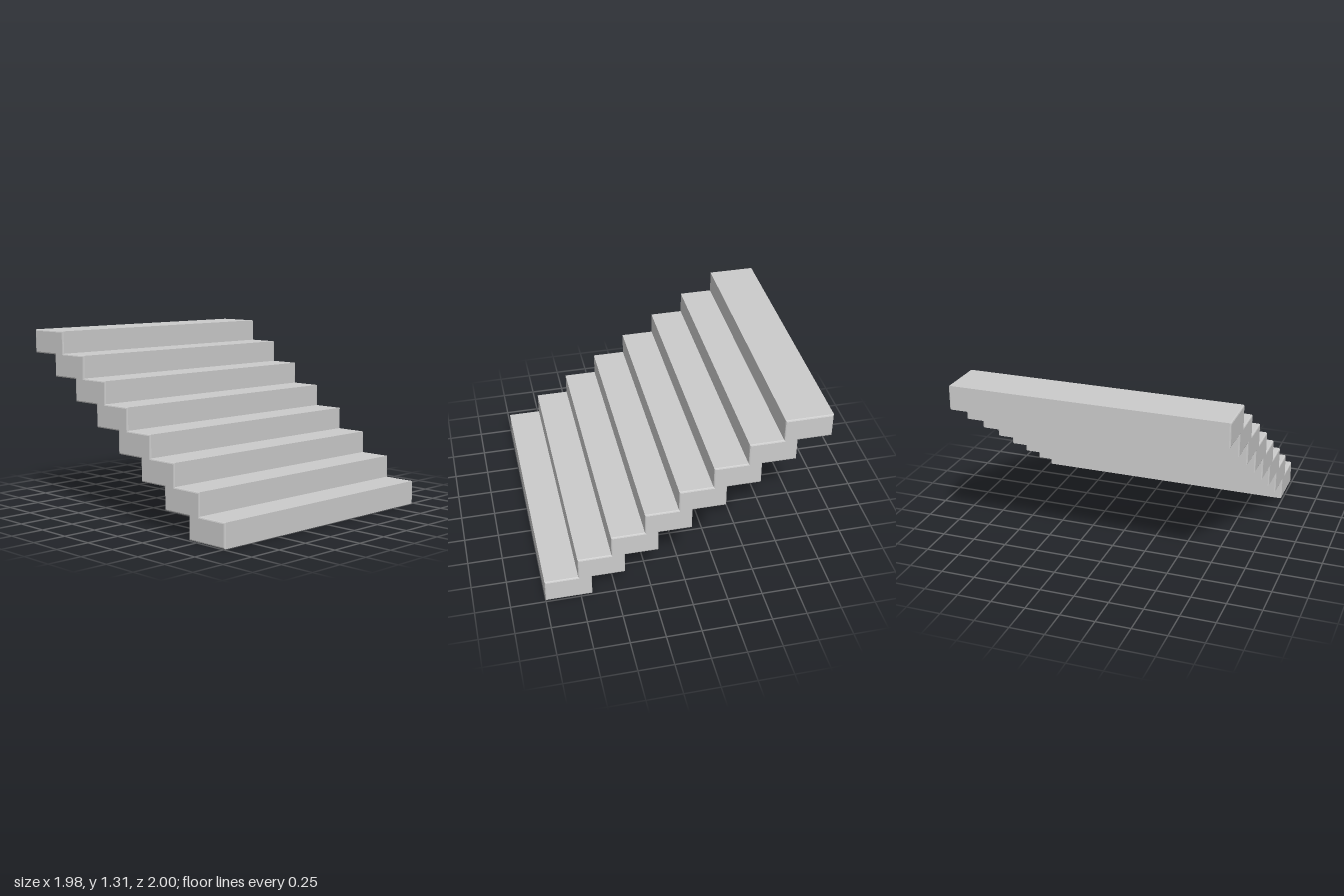
import * as THREE from 'three';

const STEPS = 8, WIDTH = 1.98, DEPTH = 0.333, THICK = 0.173;
const RUN = (2 - DEPTH) / (STEPS - 1), RISE = 0.162, BEVEL = 0.01;

export function createModel() {
  const group = new THREE.Group();
  group.name = 'staircase';

  // Side profile: x runs from the front to the back of the flight
  const points = [];
  // Treads and risers, going up
  for (let i = 0; i < STEPS; i++) {
    const front = -1 + i * RUN, top = i * RISE + THICK;
    if (i === 0) points.push(new THREE.Vector2(front, 0));
    points.push(new THREE.Vector2(front, top));
    points.push(new THREE.Vector2(i < STEPS - 1 ? front + RUN : 1, top));
  }
  // Stepped underside, coming back down
  for (let i = STEPS - 1; i >= 0; i--) {
    const back = -1 + i * RUN + DEPTH;
    points.push(new THREE.Vector2(back, i * RISE));
    if (i > 0) points.push(new THREE.Vector2(back - RUN, i * RISE));
  }

  // Extrude across the width, with a slight bevel around both ends
  const geometry = new THREE.ExtrudeGeometry(new THREE.Shape(points), {
    depth: WIDTH - 2 * BEVEL,
    bevelEnabled: true,
    bevelThickness: BEVEL,
    bevelSize: BEVEL,
    bevelOffset: -BEVEL,
    bevelSegments: 2,
  });
  geometry.translate(0, 0, BEVEL - WIDTH / 2);
  geometry.rotateY(Math.PI / 2);

  const steps = new THREE.Mesh(geometry, new THREE.MeshStandardMaterial({ color: 0xcccccc }));
  steps.name = 'steps';
  group.add(steps);
  return group;
}
